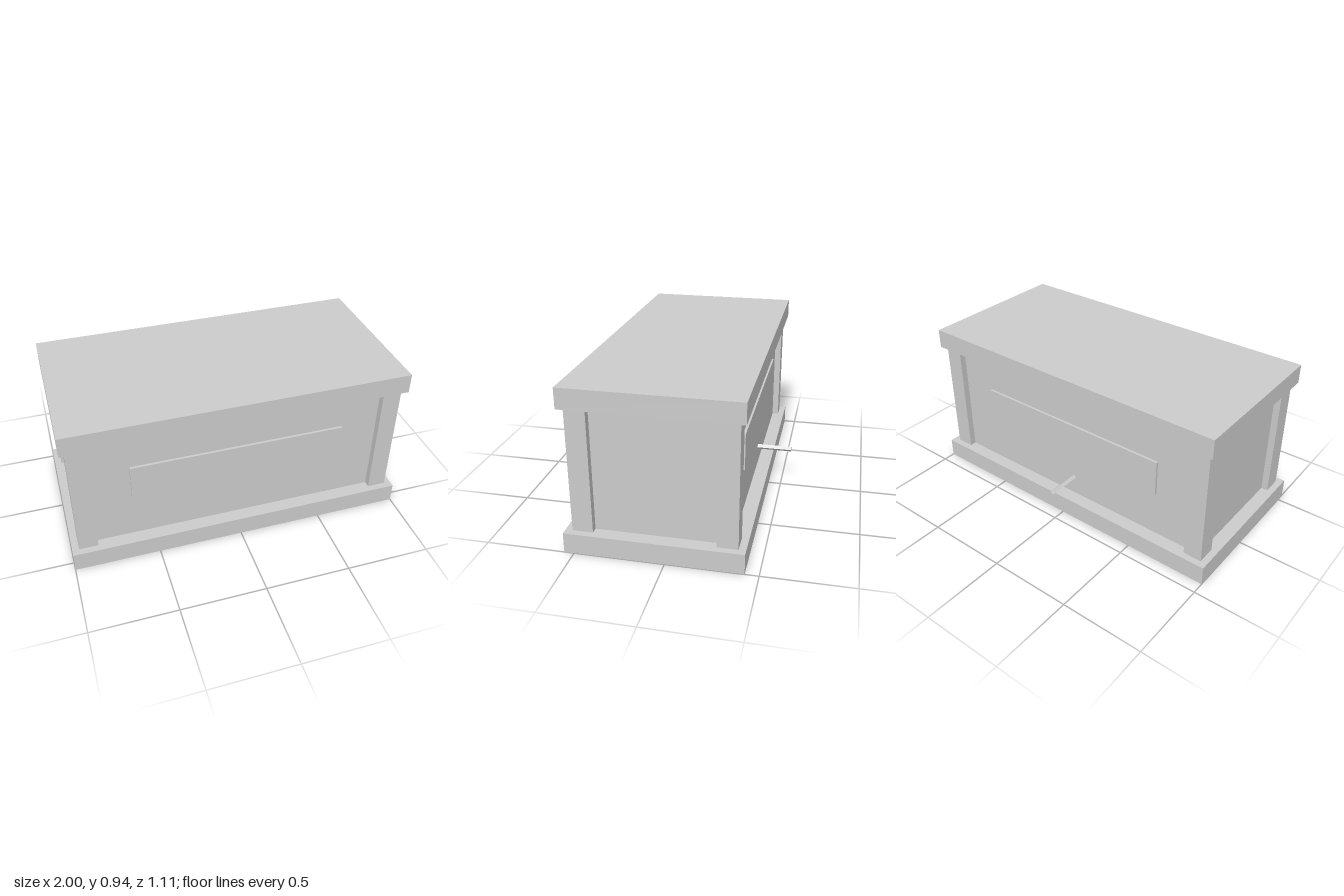
import * as THREE from 'three';

const material = new THREE.MeshStandardMaterial({ color: 0xcccccc, flatShading: true });

// Box given by its lower and upper limits on each axis
function box(name, [x0, x1], [y0, y1], [z0, z1]) {
  const mesh = new THREE.Mesh(new THREE.BoxGeometry(x1 - x0, y1 - y0, z1 - z0), material);
  mesh.name = name;
  mesh.position.set((x0 + x1) / 2, (y0 + y1) / 2, (z0 + z1) / 2);
  return mesh;
}

export function createModel() {
  const model = new THREE.Group();
  model.name = 'chest';
  const midZ = 0.065; // the spigot shifts the chest body forward

  const chest = new THREE.Group();
  chest.name = 'chestBody';
  chest.position.z = midZ;
  model.add(chest);

  // Plinth, recessed body and lid
  chest.add(box('base', [-1, 1], [0, 0.117], [-0.49, 0.49]));
  chest.add(box('body', [-0.92, 0.92], [0.117, 0.828], [-0.41, 0.41]));
  chest.add(box('lid', [-0.988, 0.988], [0.828, 0.944], [-0.48, 0.48]));

  // Corner posts
  for (const sx of [-1, 1]) {
    for (const sz of [-1, 1]) {
      const post = box('cornerPost', [-0.055, 0.055], [0.117, 0.828], [-0.0575, 0.0575]);
      post.position.x = sx * 0.905;
      post.position.z = sz * 0.3925;
      chest.add(post);
    }
  }

  // Raised plaques on the front and back
  chest.add(box('frontPlaque', [-0.628, 0.628], [0.402, 0.615], [0.41, 0.425]));
  chest.add(box('backPlaque', [-0.628, 0.628], [0.402, 0.615], [-0.425, -0.41]));

  // Thin four-sided rod sticking out of the back
  const rod = new THREE.Mesh(new THREE.CylinderGeometry(0.016, 0.016, 0.21, 4), material);
  rod.name = 'backRod';
  rod.rotation.x = Math.PI / 2;
  rod.position.set(-0.028, 0.235, -0.45);
  model.add(rod);

  return model;
}
